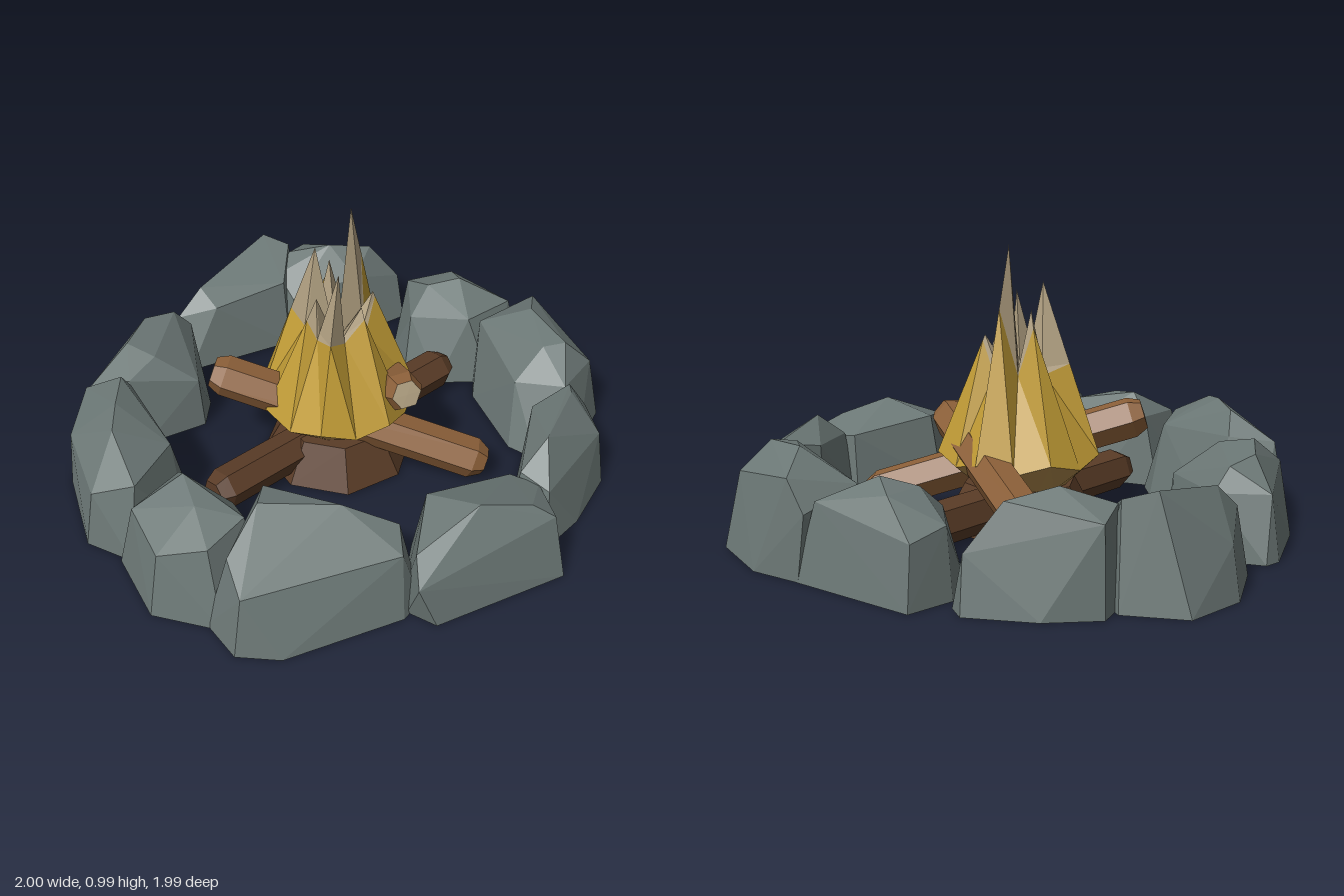
import * as THREE from 'three';
import { ConvexGeometry } from 'three/addons/geometries/ConvexGeometry.js';

function mat(name, color) {
  const m = new THREE.MeshStandardMaterial({ color, flatShading: true });
  m.name = name;
  return m;
}

export function createModel() {
  const stone = mat('stone grey', 0x6c7876);
  const wood = mat('wood brown', 0x8c6039);
  const darkWood = mat('dark wood brown', 0x5a3c27);
  const gold = mat('flame gold', 0xbf9a35);
  const pale = mat('pale tan', 0xb3a283);
  const ember = mat('ember tan', 0xb08a4c);

  const model = new THREE.Group();
  model.name = 'campfire';
  const add = (parent, name, geometry, material) => {
    const mesh = new THREE.Mesh(geometry, material);
    mesh.name = name;
    parent.add(mesh);
    return mesh;
  };

  // Stones: convex hull of a footprint [x, z] on the ground and crown points [x, y, z]
  const stones = new THREE.Group();
  stones.name = 'stoneRing';
  model.add(stones);
  const rock = (name, foot, crown) => add(stones, name, new ConvexGeometry([
    ...foot.map(([x, z]) => new THREE.Vector3(x, 0, z)),
    ...crown.map((p) => new THREE.Vector3(...p)),
  ]), stone);

  rock('backRightStone',
    [[0.06, -0.84], [0.17, -0.93], [0.41, -1], [0.62, -0.94], [0.69, -0.74], [0.58, -0.6], [0.45, -0.57], [0.06, -0.77]],
    [[0.1, 0.2, -0.86], [0.22, 0.29, -0.84], [0.4, 0.17, -0.97], [0.42, 0.31, -0.84], [0.6, 0.36, -0.82],
      [0.64, 0.33, -0.72], [0.2, 0.24, -0.74], [0.48, 0.26, -0.62]]);
  rock('smallRightStone',
    [[0.5, -0.7], [0.75, -0.73], [0.86, -0.58], [0.94, -0.36], [0.89, -0.3], [0.67, -0.38], [0.44, -0.56]],
    [[0.52, 0.26, -0.68], [0.62, 0.31, -0.7], [0.74, 0.28, -0.72], [0.7, 0.36, -0.55], [0.83, 0.33, -0.44],
      [0.91, 0.18, -0.35], [0.7, 0.25, -0.42], [0.48, 0.2, -0.57]]);
  rock('rightStone',
    [[0.58, -0.08], [0.67, -0.2], [0.84, -0.27], [1, -0.22], [0.95, 0.24], [0.72, 0.24], [0.59, 0.07]],
    [[0.97, 0.2, -0.21], [0.84, 0.23, -0.25], [0.76, 0.31, -0.1], [0.9, 0.31, -0.08], [0.83, 0.345, 0],
      [0.7, 0.27, 0.13], [0.92, 0.26, 0.18], [0.64, 0.22, -0.1]]);
  rock('frontRightStone',
    [[0.42, 0.5], [0.6, 0.23], [0.7, 0.17], [0.95, 0.23], [0.94, 0.42], [0.8, 0.67], [0.58, 0.71], [0.42, 0.62]],
    [[0.95, 0.22, 0.2], [0.72, 0.27, 0.17], [0.77, 0.38, 0.36], [0.93, 0.32, 0.28], [0.62, 0.35, 0.5],
      [0.68, 0.36, 0.56], [0.55, 0.27, 0.64], [0.5, 0.24, 0.46], [0.76, 0.26, 0.63]]);
  rock('frontStone',
    [[0.03, 0.72], [0.4, 0.57], [0.58, 0.66], [0.53, 0.82], [0.46, 0.87], [0.22, 0.9], [0.04, 0.88]],
    [[0.07, 0.22, 0.85], [0.08, 0.24, 0.73], [0.2, 0.33, 0.76], [0.5, 0.3, 0.69], [0.54, 0.3, 0.66],
      [0.61, 0.18, 0.7], [0.47, 0.2, 0.83], [0.38, 0.27, 0.6]]);
  rock('frontLeftStone',
    [[-0.49, 0.66], [-0.43, 0.6], [-0.23, 0.5], [0.07, 0.68], [0.06, 0.85], [0.04, 0.93], [-0.04, 0.99], [-0.48, 0.77]],
    [[-0.52, 0.16, 0.72], [-0.45, 0.23, 0.66], [-0.22, 0.325, 0.75], [-0.07, 0.275, 0.86], [0.085, 0.22, 0.8],
      [-0.23, 0.27, 0.55], [0.06, 0.23, 0.7], [-0.03, 0.23, 0.93]]);
  rock('leftFrontStone',
    [[-0.97, 0.33], [-0.92, 0.17], [-0.6, 0.05], [-0.5, 0.08], [-0.35, 0.55], [-0.42, 0.67], [-0.52, 0.67], [-0.89, 0.46]],
    [[-0.93, 0.22, 0.33], [-0.86, 0.28, 0.22], [-0.68, 0.37, 0.2], [-0.58, 0.34, 0.14], [-0.5, 0.34, 0.4],
      [-0.4, 0.27, 0.56], [-0.48, 0.23, 0.63], [-0.54, 0.27, 0.12]]);
  rock('leftStone',
    [[-1, 0], [-0.88, -0.25], [-0.63, -0.24], [-0.6, 0], [-0.62, 0.13], [-0.7, 0.23], [-0.91, 0.23]],
    [[-0.95, 0.23, 0], [-0.86, 0.26, -0.19], [-0.87, 0.28, 0.15], [-0.78, 0.33, 0.02], [-0.7, 0.35, -0.1],
      [-0.64, 0.27, -0.18], [-0.63, 0.25, 0.05], [-0.7, 0.3, 0.16]]);
  rock('leftBackStone',
    [[-0.89, -0.4], [-0.7, -0.67], [-0.48, -0.82], [-0.37, -0.77], [-0.34, -0.57], [-0.5, -0.27], [-0.6, -0.2], [-0.86, -0.22]],
    [[-0.86, 0.22, -0.38], [-0.7, 0.24, -0.64], [-0.7, 0.37, -0.42], [-0.6, 0.385, -0.5], [-0.47, 0.375, -0.6],
      [-0.41, 0.29, -0.62], [-0.5, 0.27, -0.76], [-0.55, 0.27, -0.3], [-0.79, 0.28, -0.24]]);
  rock('backLeftStone',
    [[-0.46, -0.83], [-0.3, -0.9], [0, -0.97], [0.06, -0.95], [0.1, -0.77], [-0.05, -0.57], [-0.16, -0.5], [-0.38, -0.6]],
    [[-0.45, 0.22, -0.8], [-0.27, 0.33, -0.77], [-0.1, 0.32, -0.84], [0, 0.22, -0.94], [0.02, 0.3, -0.8],
      [0.08, 0.22, -0.77], [-0.25, 0.31, -0.65], [-0.16, 0.2, -0.52], [-0.38, 0.27, -0.66]]);

  // Logs: six-sided with chamfered ends, laid from the low end to the high end
  const log = (name, low, high, r, material, paleCut) => {
    const a = new THREE.Vector3(...low), b = new THREE.Vector3(...high);
    const len = a.distanceTo(b);
    const group = new THREE.Group();
    group.name = name;
    const profile = [[0, 0], [r * 0.65, 0], [r, 0.045], [r, len - 0.045], [r * 0.72, len]];
    if (!paleCut) profile.push([0, len]);
    add(group, 'bark', new THREE.LatheGeometry(profile.map((p) => new THREE.Vector2(...p)), 6), material);
    if (paleCut) {
      const cut = add(group, 'cutEnd', new THREE.LatheGeometry(
        [new THREE.Vector2(r * 0.72, 0), new THREE.Vector2(0, 0.002)], 6), pale);
      cut.position.y = len;
    }
    group.position.copy(a);
    group.quaternion.setFromUnitVectors(new THREE.Vector3(0, 1, 0), b.sub(a).normalize());
    model.add(group);
  };
  log('frontLeaningLog', [0.225, 0.07, 0.51], [-0.25, 0.375, -0.36], 0.075, wood, true);
  log('rightLeaningLog', [0.535, 0.1, -0.41], [0.06, 0.37, 0.27], 0.075, wood, true);
  log('groundLog', [0.615, 0.085, 0.08], [-0.515, 0.095, -0.145], 0.075, darkWood, false);

  // Ember bed under the flame
  add(model, 'emberBed', new THREE.CylinderGeometry(0.2, 0.28, 0.15, 8), darkWood).position.set(0.04, 0.08, -0.02);

  // Flame tongues around a hollow middle: tip [x, y, z] and the height where gold turns pale
  const tongues = [
    { tip: [0.13, 0.99, -0.03], split: 0.78 },
    { tip: [0.14, 0.68, 0.06], split: 0.66 },
    { tip: [0.06, 0.66, 0.07], split: 0.62 },
    { tip: [-0.02, 0.82, 0.03], split: 0.58 },
    { tip: [-0.04, 0.7, -0.05], split: 0.62 },
    { tip: [0.02, 0.86, -0.1], split: 0.58 },
    { tip: [0.1, 0.77, -0.1], split: 0.71 },
  ];
  const N = tongues.length * 2;
  const cx = 0.05, cz = -0.03;
  const point = (i, r, y) => {
    const t = (i / N) * Math.PI * 2;
    return [cx + r * Math.cos(t), y, cz + r * Math.sin(t)];
  };
  const mix = (a, b, t) => a.map((v, k) => v + (b[k] - v) * t);

  // One column from the underside centre, over the rim and crest, to the hollow centre
  const column = (i) => {
    const tongue = i % 2 === 0 ? tongues[(i % N) / 2] : null;
    const rim = point(i, (tongue ? 0.295 : 0.265) + 0.012 * Math.sin((i % N) * 3), tongue ? 0.27 : 0.24);
    const crest = tongue ? tongue.tip : point(i, 0.1, 0.57);
    const t = tongue ? (tongue.split - rim[1]) / (crest[1] - rim[1]) : 0.93;
    return [[cx, 0.14, cz], point(i, 0.16, 0.15), rim, mix(rim, crest, t), crest, [cx, 0.48, cz]];
  };
  const band = (first, last) => {
    const pos = [];
    for (let i = 0; i < N; i++) {
      const p = column(i), q = column(i + 1);
      for (let k = first; k < last; k++) {
        pos.push(...p[k], ...p[k + 1], ...q[k + 1], ...p[k], ...q[k + 1], ...q[k]);
      }
    }
    const g = new THREE.BufferGeometry();
    g.setAttribute('position', new THREE.Float32BufferAttribute(pos, 3));
    g.computeVertexNormals();
    return g;
  };
  const flame = new THREE.Group();
  flame.name = 'flame';
  model.add(flame);
  add(flame, 'flameUnderside', band(0, 2), ember);
  add(flame, 'flameBody', band(2, 3), gold);
  add(flame, 'flameTips', band(3, 5), pale);

  return model;
}
